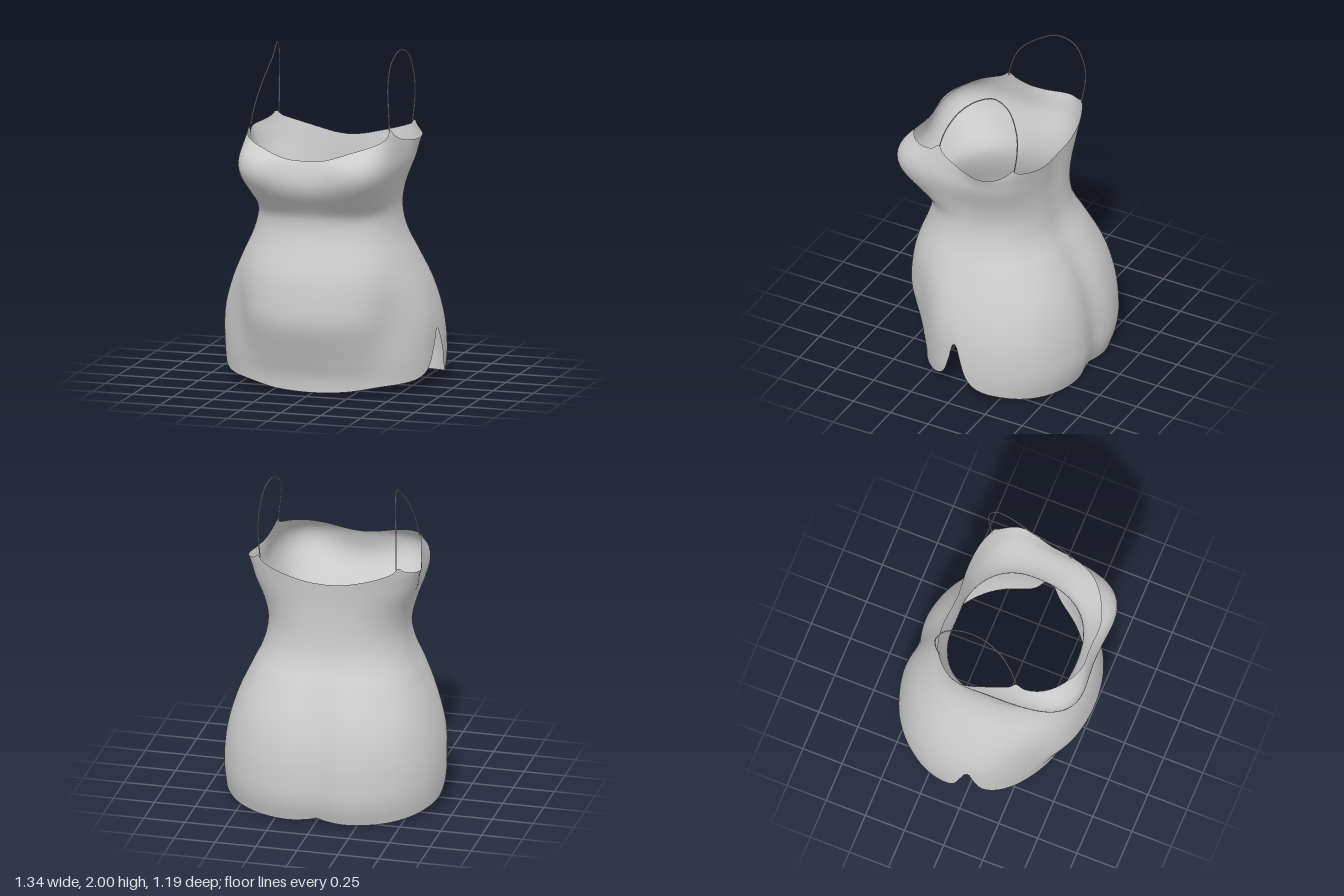
import * as THREE from 'three';

// Smooth curve through [t, value] pairs
function curve(pts) {
  const slope = (i) => {
    const a = pts[Math.max(i - 1, 0)], b = pts[Math.min(i + 1, pts.length - 1)];
    return (b[1] - a[1]) / (b[0] - a[0]);
  };
  return (t) => {
    if (t <= pts[0][0]) return pts[0][1];
    let i = 0;
    while (i < pts.length - 1 && t > pts[i + 1][0]) i++;
    if (i === pts.length - 1) return pts[i][1];
    const h = pts[i + 1][0] - pts[i][0], s = (t - pts[i][0]) / h, s2 = s * s, s3 = s2 * s;
    return pts[i][1] * (2 * s3 - 3 * s2 + 1) + slope(i) * h * (s3 - 2 * s2 + s)
      + pts[i + 1][1] * (3 * s2 - 2 * s3) + slope(i + 1) * h * (s3 - s2);
  };
}
const bump = (v, centre, width) => Math.exp(-(((v - centre) / width) ** 2));
const step = THREE.MathUtils.smoothstep;

// Body outline by height: half width, front depth, back depth
const width = curve([[0, 0.655], [0.2, 0.672], [0.4, 0.655], [0.6, 0.6], [0.8, 0.51], [0.9, 0.462],
  [1, 0.43], [1.1, 0.42], [1.2, 0.435], [1.3, 0.465], [1.37, 0.478], [1.45, 0.47], [1.58, 0.45]]);
const front = curve([[0, 0.43], [0.1, 0.44], [0.2, 0.475], [0.4, 0.55], [0.5, 0.56], [0.7, 0.53], [0.9, 0.46],
  [1, 0.437], [1.08, 0.445], [1.15, 0.495], [1.22, 0.555], [1.3, 0.6], [1.37, 0.609], [1.43, 0.582],
  [1.5, 0.49], [1.58, 0.4]]);
const back = curve([[0, 0.57], [0.1, 0.602], [0.2, 0.612], [0.4, 0.595], [0.6, 0.54], [0.8, 0.437], [0.9, 0.375],
  [1, 0.338], [1.2, 0.32], [1.4, 0.327], [1.58, 0.348]]);
// Squareness of the cross-section
const frontPower = curve([[0, 2], [0.4, 2], [0.6, 2.15], [0.8, 2.35], [1, 2.4], [1.08, 2.5], [1.2, 3.4],
  [1.3, 4.1], [1.4, 4.1], [1.6, 3.8]]);
const backPower = curve([[0, 2.35], [0.6, 2.35], [1, 2.3], [1.15, 2.35], [1.35, 2.8], [1.6, 4]]);
// Neckline and hem heights by angle from the front centre
const neckline = curve([[0, 1.43], [0.18, 1.438], [0.37, 1.465], [0.5, 1.485], [0.66, 1.505], [0.9, 1.532],
  [1, 1.55], [1.08, 1.585], [1.16, 1.55], [1.35, 1.51], [1.63, 1.49], [1.95, 1.505], [2.08, 1.53], [2.14, 1.555],
  [2.21, 1.525], [2.5, 1.475], [2.85, 1.44], [Math.PI, 1.43]]);
const hem = curve([[0, 0.012], [0.5, 0.022], [0.9, 0.05], [1.2, 0.068], [1.35, 0.095], [1.44, 0.15], [1.5, 0.26],
  [1.53, 0.34], [1.55, 0.36], [1.58, 0.35], [1.62, 0.27], [1.68, 0.15], [1.78, 0.08], [2, 0.045],
  [2.4, 0.01], [2.8, 0.002], [3.05, 0.01], [Math.PI, 0.025]]);

// Point of the fabric at an angle and height
function fabric(angle, y) {
  const s = Math.sin(angle), c = Math.cos(angle);
  const depth = c > 0 ? front(y) : back(y), n = c > 0 ? frontPower(y) : backPower(y);
  let r = ((Math.abs(s) / width(y)) ** n + (Math.abs(c) / depth) ** n) ** (-1 / n);
  // flattened hips between the front panel and the side slits
  r *= 1 - 0.075 * bump(Math.atan2(Math.abs(s), c), 0.97, 0.3) * bump(y, 0.43, 0.24);
  let x = r * s, z = r * c;
  // the front panel sits slightly inside the back one at the side slits
  x *= 1 - 0.035 * step(z, -0.05, 0.06) * (1 - step(y, 0.15, 0.5));
  // flared armholes
  x += Math.sign(s) * 0.066 * bump(z, -0.1, 0.16) * THREE.MathUtils.clamp((y - 1.25) / 0.25, 0, 1) ** 2;
  // hollow between the bust cups, and down the spine and seat
  if (c > 0) z -= 0.055 * bump(x, 0, 0.21) * bump(y, 1.39, 0.12);
  else z += bump(x, 0, 0.12) * (0.012 + 0.023 * (1 - step(y, 0.55, 1.05)));
  return [x, y, z];
}

function dressGeometry(cols = 360, rows = 56) {
  const pos = [], index = [];
  for (let j = 0; j <= rows; j++) {
    for (let i = 0; i < cols; i++) {
      const a = (i / cols) * Math.PI * 2, side = Math.min(a, Math.PI * 2 - a);
      pos.push(...fabric(a, THREE.MathUtils.lerp(hem(side), neckline(side), j / rows)));
    }
  }
  for (let j = 0; j < rows; j++) {
    for (let i = 0; i < cols; i++) {
      const k = (i + 1) % cols;
      const a = j * cols + i, b = j * cols + k, c = b + cols, d = a + cols;
      index.push(a, b, c, a, c, d);
    }
  }
  const geo = new THREE.BufferGeometry();
  geo.setAttribute('position', new THREE.Float32BufferAttribute(pos, 3));
  geo.setIndex(index);
  geo.computeVertexNormals();
  return geo;
}

export function createModel() {
  const group = new THREE.Group();
  group.name = 'camisoleDress';
  const cloth = new THREE.MeshStandardMaterial({ color: 0xcccccc, side: THREE.DoubleSide });
  cloth.name = 'grey cloth';

  const body = new THREE.Mesh(dressGeometry(), cloth);
  body.name = 'dressBody';
  group.add(body);

  // Thin shoulder straps
  for (const side of [1, -1]) {
    const path = new THREE.CatmullRomCurve3([
      [0.43, 1.57, 0.232], [0.422, 1.64, 0.215], [0.41, 1.71, 0.19], [0.385, 1.83, 0.12], [0.368, 1.94, 0],
      [0.382, 1.996, -0.12], [0.402, 1.96, -0.22], [0.418, 1.83, -0.28], [0.422, 1.7, -0.288], [0.415, 1.545, -0.265],
    ].map(([x, y, z]) => new THREE.Vector3(x * side, y, z)));
    const strap = new THREE.Mesh(new THREE.TubeGeometry(path, 64, 0.0035, 8), cloth);
    strap.name = side > 0 ? 'leftStrap' : 'rightStrap';
    group.add(strap);
  }
  return group;
}
